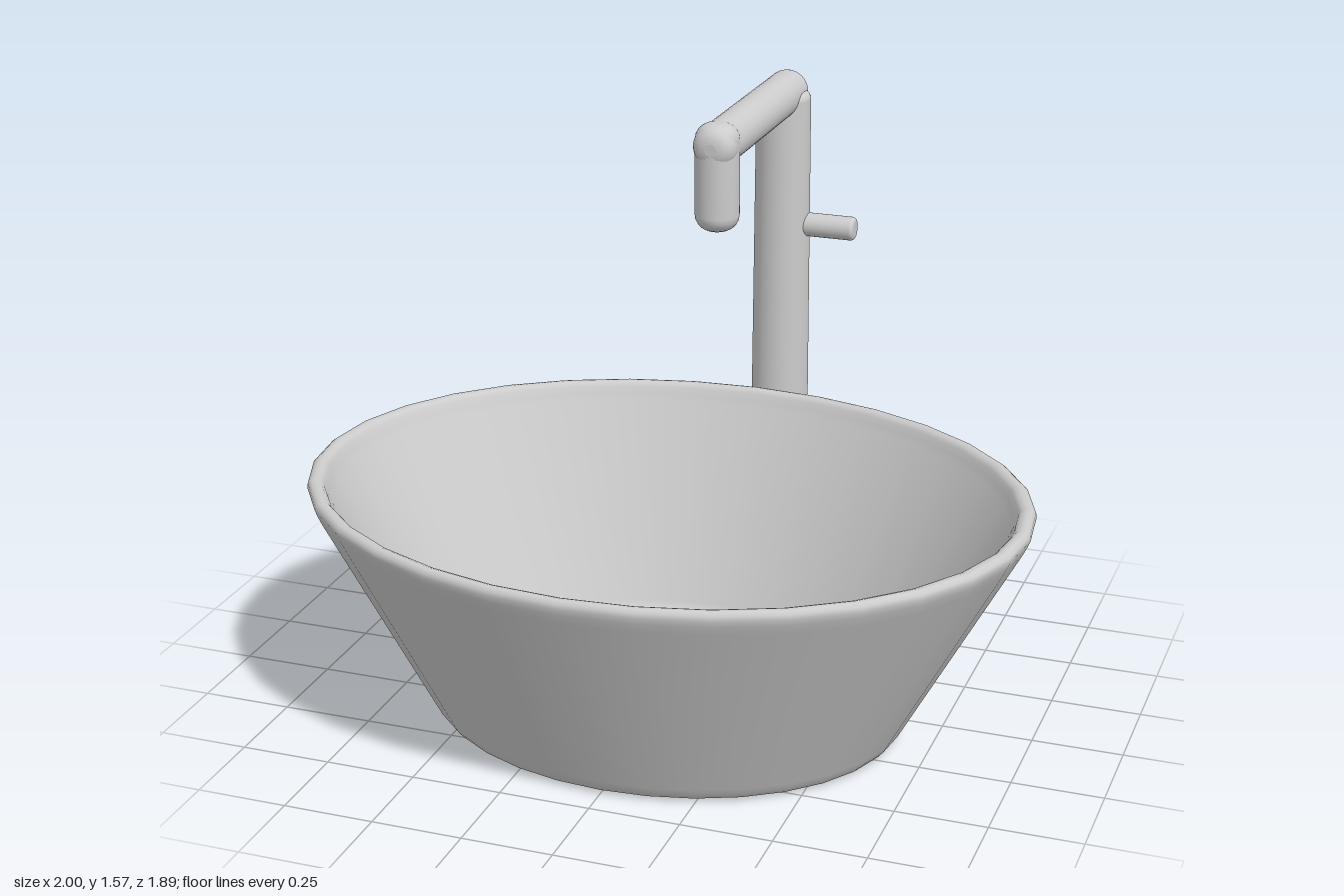
import * as THREE from 'three';

// Solid turned from a profile of [radius, height] pairs
function turned(points, segments) {
  return new THREE.LatheGeometry(points.map(([r, y]) => new THREE.Vector2(r, y)), segments);
}

// Upright rod standing on y = 0, with rounded edges of radius e at both ends
function rod(r0, r1, length, e, segments = 32) {
  const points = [[0, 0], [(r0 - e) * 0.97, 0]];
  for (let i = 0; i <= 5; i++) {
    const a = (i / 5) * Math.PI / 2;
    points.push([r0 - e + e * Math.sin(a), e - e * Math.cos(a)]);
  }
  for (let i = 0; i <= 5; i++) {
    const a = (i / 5) * Math.PI / 2;
    points.push([r1 - e + e * Math.cos(a), length - e + e * Math.sin(a)]);
  }
  points.push([(r1 - e) * 0.97, length], [0, length]);
  return turned(points, segments);
}

export function createModel() {
  const group = new THREE.Group();
  const grey = new THREE.MeshStandardMaterial({ color: 0xcccccc });
  grey.name = 'light grey';

  function add(name, geometry, x, y, z) {
    const mesh = new THREE.Mesh(geometry, grey);
    mesh.name = name;
    mesh.position.set(x, y, z);
    group.add(mesh);
    return mesh;
  }

  // Oval basin: outer wall, rounded rim, inner wall and floor in one profile
  const basin = turned([
    [0, 0], [0.61, 0], [0.63, 0.002], [0.648, 0.01], [0.662, 0.026], [0.672, 0.044],
    [0.98, 0.61], [0.993, 0.637], [1, 0.655], [0.998, 0.668], [0.988, 0.676],
    [0.975, 0.678], [0.962, 0.674], [0.953, 0.664], [0.945, 0.645], [0.935, 0.625],
    [0.645, 0.085], [0.635, 0.07], [0.62, 0.058], [0.6, 0.052], [0.58, 0.05], [0, 0.05],
  ], 32);
  basin.scale(1, 1, 0.795);
  add('basin', basin, 0, 0, 0.15);

  // Low domed drain cover
  add('drainCover', turned([
    [0.1, 0.04], [0.1, 0.06], [0.096, 0.066], [0.08, 0.071], [0.05, 0.076], [0, 0.078],
  ], 32), 0, 0, 0.15);

  // Tall, slightly tapered tap post
  add('tapPost', rod(0.088, 0.08, 1.52, 0.025), 0, 0, -0.858);

  // Spout: a level arm and a short downward outlet
  add('spoutArm', rod(0.062, 0.062, 0.735, 0.045), 0, 1.51, -0.935).rotation.x = Math.PI / 2;
  add('spoutOutlet', rod(0.062, 0.062, 0.302, 0.045), 0, 1.27, -0.262);

  // Side lever
  add('lever', rod(0.035, 0.035, 0.225, 0.012, 24), 0, 1.12, -0.86).rotation.z = -Math.PI / 2;

  return group;
}
